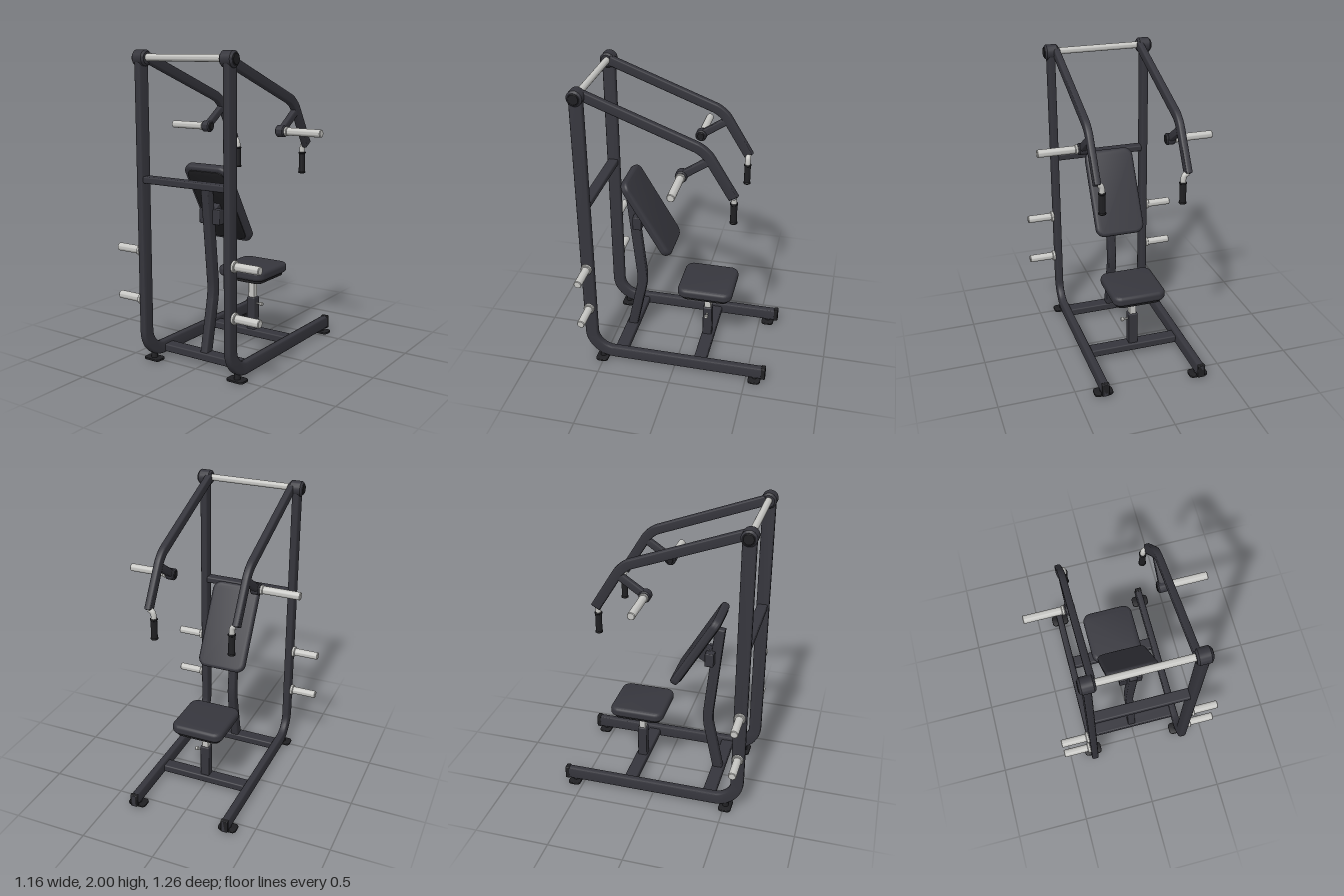
import * as THREE from 'three';
import { toCreasedNormals } from 'three/addons/utils/BufferGeometryUtils.js';
import { RoundedBoxGeometry } from 'three/addons/geometries/RoundedBoxGeometry.js';

const material = (name, color) => {
  const m = new THREE.MeshStandardMaterial({ color });
  m.name = name;
  return m;
};

// Flat-sided tube following [z, y] points; each corner is filleted over a given length.
function profileTube(points, height, width, fillet = 0, bevel = 0.01) {
  const p = points.map(([z, y]) => new THREE.Vector2(z, y));
  const line = [p[0]];
  for (let i = 1; i < p.length - 1; i++) {
    const a = p[i].clone().add(p[i - 1].clone().sub(p[i]).setLength(fillet));
    const b = p[i].clone().add(p[i + 1].clone().sub(p[i]).setLength(fillet));
    line.push(...new THREE.CubicBezierCurve(
      a, a.clone().lerp(p[i], 0.55), b.clone().lerp(p[i], 0.55), b).getPoints(10));
  }
  line.push(p[p.length - 1]);
  const half = height / 2 - bevel;
  const side = (sign) => line.map((q, i) => {
    const t = line[Math.min(i + 1, line.length - 1)].clone().sub(line[Math.max(i - 1, 0)]).normalize();
    return new THREE.Vector2(q.x - t.y * half * sign, q.y + t.x * half * sign);
  });
  const depth = width - 2 * bevel;
  const g = new THREE.ExtrudeGeometry(new THREE.Shape([...side(-1), ...side(1).reverse()]), {
    depth, bevelThickness: bevel, bevelSize: bevel, bevelSegments: 3,
  });
  g.translate(0, 0, -depth / 2).rotateY(-Math.PI / 2);
  return toCreasedNormals(g, 0.65);
}

// Soft-edged slab in the XY plane, centred on the origin.
function pad(w, h, thick, radius, bevel) {
  const x = w / 2 - bevel, y = h / 2 - bevel, r = radius - bevel;
  const s = new THREE.Shape();
  s.absarc(x - r, y - r, r, 0, Math.PI / 2);
  s.absarc(-x + r, y - r, r, Math.PI / 2, Math.PI);
  s.absarc(-x + r, -y + r, r, Math.PI, Math.PI * 1.5);
  s.absarc(x - r, -y + r, r, Math.PI * 1.5, Math.PI * 2);
  const depth = thick - 2 * bevel;
  const g = new THREE.ExtrudeGeometry(s, {
    depth, bevelThickness: bevel, bevelSize: bevel, bevelSegments: 5, curveSegments: 10,
  });
  return toCreasedNormals(g.translate(0, 0, -depth / 2), 0.6);
}

// Chamfered cylinder along X, centred on the origin.
function rod(radius, length, chamfer = 0.004) {
  const h = length / 2;
  const outline = [[0, -h], [radius - chamfer, -h], [radius, -h + chamfer],
    [radius, h - chamfer], [radius - chamfer, h], [0, h]];
  const g = new THREE.LatheGeometry(outline.map(([x, y]) => new THREE.Vector2(x, y)), 28);
  return toCreasedNormals(g.rotateZ(-Math.PI / 2), 0.6);
}

export function createModel() {
  const frame = material('charcoal frame', 0x35353c);
  const cushion = material('charcoal upholstery', 0x36363d);
  const black = material('black rubber', 0x1f1f22);
  const chrome = material('chrome', 0xc6c6c3);

  const model = new THREE.Group();
  model.name = 'shoulderPressMachine';
  const add = (name, geometry, mat, x = 0, y = 0, z = 0, parent = model) => {
    const m = new THREE.Mesh(geometry, mat);
    m.name = name;
    m.position.set(x, y, z);
    parent.add(m);
    return m;
  };
  const box = (w, h, d, r = 0.01) => new RoundedBoxGeometry(w, h, d, 3, r);

  // Mirrored side assemblies
  for (const s of [1, -1]) {
    const side = new THREE.Group();
    side.name = s > 0 ? 'leftSide' : 'rightSide';
    model.add(side);
    const put = (name, geo, mat, x, y, z) => add(name, geo, mat, s * x, y, z, side);

    // Upright and floor rail, one bent tube
    put('sideFrame', profileTube([[0.582, 1.95], [0.582, 0.063], [-0.62, 0.063]], 0.085, 0.048, 0.155, 0.012),
      frame, 0.328, 0, 0);
    put('railEndCap', box(0.05, 0.09, 0.03, 0.006), black, 0.328, 0.063, -0.617);
    for (const z of [0.51, -0.56]) {
      put('foot', pad(0.125, 0.085, 0.014, 0.025, 0.003).rotateX(-Math.PI / 2), black, 0.328, 0.007, z);
      put('footStem', new THREE.CylinderGeometry(0.018, 0.022, 0.05, 16), black, 0.328, 0.035, z);
    }

    // Storage pegs
    for (const y of [0.425, 0.745]) {
      put('storagePeg', rod(0.026, 0.2), chrome, 0.44, y, 0.582);
      put('storagePegCollar', rod(0.037, 0.022), chrome, 0.362, y, 0.582);
    }

    // Pivot hub and swinging arm
    put('pivotHub', rod(0.05, 0.092, 0.012), frame, 0.324, 1.95, 0.582);
    put('pivotCap', rod(0.034, 0.012, 0.003), black, 0.369, 1.95, 0.582);
    put('pressArm', profileTube([[0.56, 1.95], [-0.19, 1.667], [-0.365, 1.378]], 0.064, 0.042, 0.06),
      frame, 0.293, 0, 0);

    // Plate horn on the arm
    put('hornBracket', profileTube([[-0.21, 1.6], [-0.055, 1.495]], 0.05, 0.04), frame, 0.293, 0, 0);
    put('hornHub', rod(0.038, 0.06, 0.007), frame, 0.292, 1.487, -0.047);
    put('hornHubCap', rod(0.024, 0.008, 0.003), black, 0.262, 1.487, -0.047);
    put('plateHorn', rod(0.025, 0.26), chrome, 0.452, 1.487, -0.047);
    put('hornCollar', rod(0.03, 0.02), chrome, 0.332, 1.487, -0.047);

    // Handle
    const elbow = new THREE.CatmullRomCurve3([[0.292, 1.374], [0.28, 1.37], [0.267, 1.358], [0.262, 1.335], [0.262, 1.3]]
      .map(([x, y]) => new THREE.Vector3(s * x, y, -0.367)));
    add('handleElbow', new THREE.TubeGeometry(elbow, 16, 0.018, 16), chrome, 0, 0, 0, side);
    put('handleGrip', rod(0.021, 0.14).rotateZ(Math.PI / 2), black, 0.262, 1.247, -0.367);
    for (const y of [1.18, 1.312]) {
      put('gripFlange', rod(0.025, 0.012, 0.003).rotateZ(Math.PI / 2), black, 0.262, y, -0.367);
    }
  }

  // Cross members
  add('topShaft', rod(0.022, 0.6), chrome, 0, 1.953, 0.582);
  add('upperCrossbar', box(0.62, 0.044, 0.07), frame, 0, 1.205, 0.58);
  add('frontFloorCrossbar', box(0.62, 0.052, 0.086), frame, 0, 0.055, 0.385);
  add('rearFloorCrossbar', box(0.62, 0.052, 0.086), frame, 0, 0.055, -0.172);

  // Backrest post and mount
  add('backrestPost', profileTube([[0.383, 0.07], [0.298, 0.47], [0.366, 1.16]], 0.068, 0.054, 0.06), frame);
  add('backrestBracket', box(0.155, 0.096, 0.06, 0.006), frame, 0, 0.962, 0.312);

  // Reclined backrest
  const backrest = new THREE.Group();
  backrest.name = 'backrest';
  backrest.position.set(0, 1.037, 0.23);
  backrest.rotation.x = 0.527;
  model.add(backrest);
  add('backrestPad', pad(0.336, 0.595, 0.056, 0.06, 0.02), cushion, 0, 0, 0, backrest);
  add('backrestPlate', pad(0.28, 0.54, 0.012, 0.045, 0.003), black, 0, 0, 0.028, backrest);
  add('backrestMount', box(0.06, 0.1, 0.07, 0.005), frame, 0, -0.03, 0.06, backrest);

  // Seat, sliding post and adjustment pin
  add('seatPad', pad(0.36, 0.375, 0.07, 0.06, 0.026).rotateX(-Math.PI / 2), cushion, 0, 0.51, -0.167);
  add('seatPlate', pad(0.31, 0.325, 0.02, 0.045, 0.004).rotateX(-Math.PI / 2), black, 0, 0.466, -0.167);
  add('seatSlider', box(0.046, 0.2, 0.046, 0.006), chrome, 0, 0.365, -0.167);
  add('seatPost', box(0.064, 0.25, 0.064, 0.008), frame, 0, 0.185, -0.167);
  add('pinRod', rod(0.006, 0.05, 0.001), chrome, 0.05, 0.265, -0.167);
  add('pinKnob', rod(0.014, 0.022), chrome, 0.07, 0.265, -0.167);

  return model;
}
